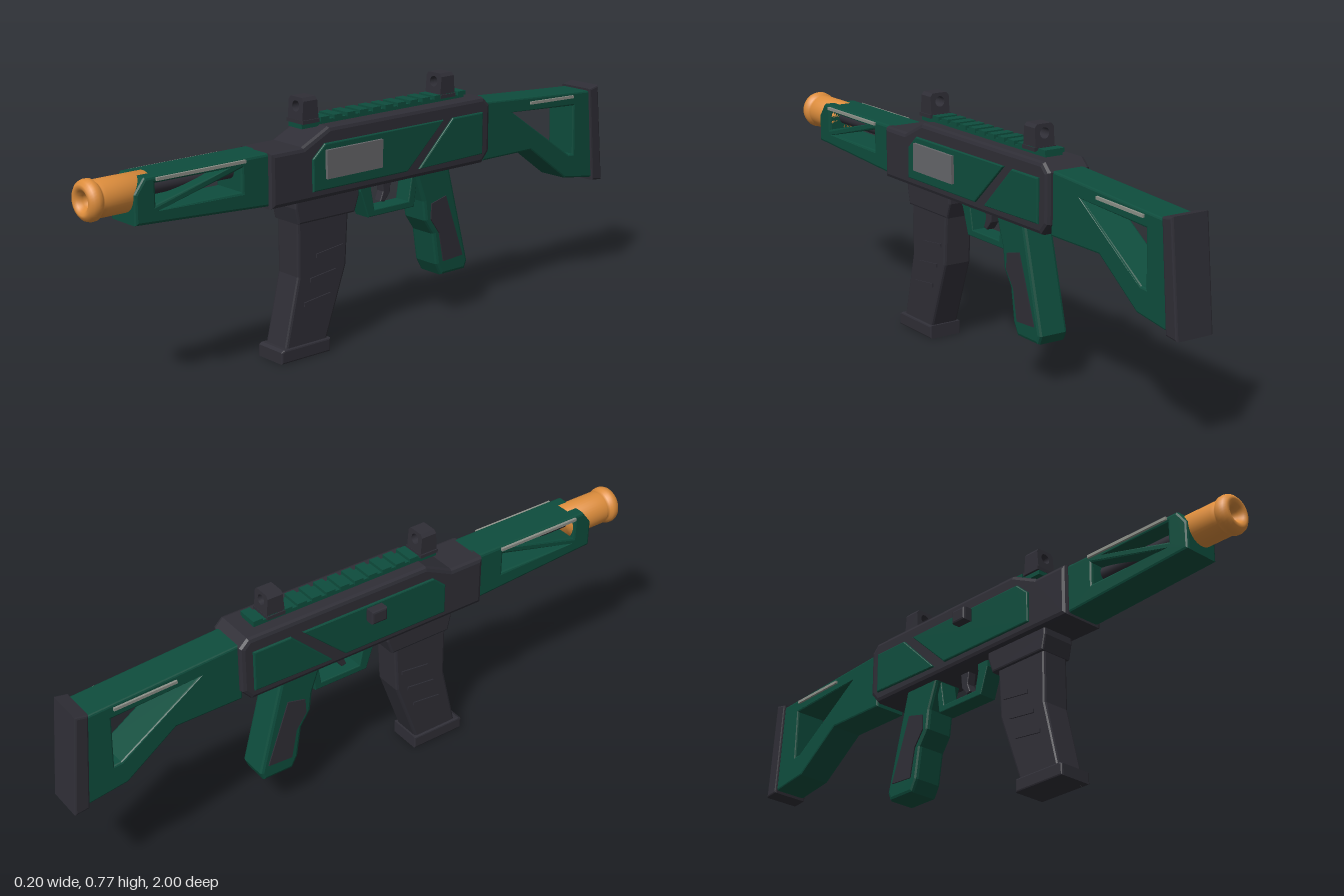
import * as THREE from 'three';

const CX = 0.011; // centre plane of the body

const mat = (name, color) => {
  const m = new THREE.MeshStandardMaterial({ color });
  m.name = name;
  return m;
};

export function createModel() {
  const group = new THREE.Group();
  const green = mat('deep green', 0x0e4d3d);
  const dark = mat('charcoal', 0x2f2e36);
  const orange = mat('orange', 0xdd8d3c);
  const grey = mat('plate grey', 0x66676a);
  const pale = mat('pale grey', 0x8c9088);

  const add = (name, geo, material) => {
    const mesh = new THREE.Mesh(geo, material);
    mesh.name = name;
    group.add(mesh);
    return mesh;
  };
  const vec = (pts) => pts.map(([a, b]) => new THREE.Vector2(a, b));

  // side profile given as [z, y] points, extruded from x0 to x1
  const side = (name, pts, x0, x1, material, bevel = 0, holes = []) => {
    const shape = new THREE.Shape(vec(pts));
    holes.forEach((h) => shape.holes.push(new THREE.Path(vec(h))));
    const geo = new THREE.ExtrudeGeometry(shape, {
      depth: x1 - x0 - 2 * bevel, bevelEnabled: bevel > 0, bevelSize: bevel,
      bevelThickness: bevel, bevelOffset: -bevel, bevelSegments: 2,
    });
    geo.translate(0, 0, -(x1 - x0) / 2 + bevel);
    geo.rotateY(-Math.PI / 2);
    geo.translate((x0 + x1) / 2, 0, 0);
    return add(name, geo, material);
  };
  const box = (name, x0, x1, y0, y1, z0, z1, material) => {
    const geo = new THREE.BoxGeometry(x1 - x0, y1 - y0, z1 - z0);
    geo.translate((x0 + x1) / 2, (y0 + y1) / 2, (z0 + z1) / 2);
    return add(name, geo, material);
  };
  // the same thin plate on both flanks, from half width a to b
  const flanks = (name, pts, a, b, material, bevel = 0) => {
    side(name + 'Left', pts, CX + a, CX + b, material, bevel);
    side(name + 'Right', pts, CX - b, CX - a, material, bevel);
  };

  // receiver
  side('receiver', [
    [0.418, 0.48], [0.418, 0.643], [0.3, 0.643], [0.203, 0.69], [-0.423, 0.69],
    [-0.45, 0.664], [-0.45, 0.515], [-0.42, 0.48],
  ], CX - 0.075, CX + 0.075, dark, 0.013);
  flanks('frontSidePanel', [
    [0.27, 0.508], [0.27, 0.605], [0.225, 0.645], [-0.245, 0.645], [-0.097, 0.508],
  ].sort(() => 0), 0.07, 0.082, green, 0.004);
  flanks('rearSidePanel', [
    [-0.145, 0.508], [-0.285, 0.645], [-0.413, 0.645], [-0.413, 0.512],
  ], 0.07, 0.082, green, 0.004);
  box('sidePlate', 0.092, 0.102, 0.541, 0.627, 0.011, 0.225, grey);
  side('chargingHandle', [
    [0.03, 0.597], [0.03, 0.64], [-0.024, 0.64], [-0.024, 0.597],
  ], -0.103, -0.068, dark, 0.006);

  // handguard with braced windows
  side('handguard', [
    [0.868, 0.514], [0.868, 0.6], [0.835, 0.643], [0.41, 0.643], [0.41, 0.487],
  ], CX - 0.06, CX + 0.06, green, 0.008, [
    [[0.80, 0.622], [0.56, 0.622], [0.80, 0.562]],
    [[0.785, 0.546], [0.51, 0.546], [0.51, 0.614]],
  ]);
  flanks('handguardStrip', [[0.8, 0.63], [0.8, 0.639], [0.5, 0.639], [0.5, 0.63]], 0.058, 0.067, pale);

  // barrel and muzzle
  const barrel = new THREE.CylinderGeometry(0.022, 0.022, 0.42, 24);
  barrel.rotateX(Math.PI / 2).translate(CX, 0.598, 0.62);
  add('barrel', barrel, dark);
  const muzzle = new THREE.LatheGeometry(vec([
    [0, 0.8], [0.053, 0.8], [0.053, 0.945], [0.047, 0.953], [0.051, 0.96],
    [0.058, 0.966], [0.059, 0.978], [0.055, 0.99], [0.046, 0.998], [0.038, 1],
    [0.029, 0.994], [0.021, 0.98], [0.02, 0.95], [0, 0.95],
  ]), 40);
  muzzle.rotateX(Math.PI / 2).translate(CX, 0.595, 0);
  add('muzzle', muzzle, orange);

  // top rail
  box('railBase', CX - 0.03, CX + 0.03, 0.685, 0.701, -0.378, 0.27, green);
  for (let i = 0; i < 12; i++) {
    const z = 0.185 - i * 0.05;
    box('railTooth', CX - 0.034, CX + 0.034, 0.698, 0.711, z - 0.016, z + 0.016, green);
  }

  // sights with a round aperture
  for (const [name, z] of [['frontSight', 0.24], ['rearSight', -0.305]]) {
    const shape = new THREE.Shape(vec([
      [-0.033, 0.7], [0.033, 0.7], [0.033, 0.765], [0.025, 0.775], [-0.025, 0.775], [-0.033, 0.765],
    ]));
    shape.holes.push(new THREE.Path().absarc(0, 0.748, 0.016, 0, Math.PI * 2, true));
    const geo = new THREE.ExtrudeGeometry(shape, { depth: 0.062, bevelEnabled: false, curveSegments: 16 });
    geo.translate(CX, 0, -0.031);
    const p = geo.attributes.position;
    for (let i = 0; i < p.count; i++) // taper towards the top
      p.setZ(i, p.getZ(i) * (1 - (p.getY(i) - 0.7) * 2.6));
    geo.computeVertexNormals();
    geo.translate(0, 0, z);
    add(name, geo, dark);
    box(name + 'Foot', CX - 0.037, CX + 0.037, 0.699, 0.71, z - 0.031, z + 0.031, dark);
  }

  // magazine
  side('magazineWell', [
    [0.316, 0.49], [0.316, 0.46], [0.305, 0.412], [0.092, 0.412], [0.075, 0.46], [0.075, 0.49],
  ], CX - 0.057, CX + 0.057, dark, 0.006);
  side('magazine', [
    [0.302, 0.43], [0.302, 0.25], [0.353, 0.03], [0.198, 0.03], [0.118, 0.255], [0.108, 0.43],
  ], CX - 0.048, CX + 0.048, dark, 0.008);
  side('magazineBase', [
    [0.373, 0], [0.373, 0.036], [0.362, 0.042], [0.187, 0.042], [0.187, 0],
  ], CX - 0.056, CX + 0.056, dark, 0.005);
  for (let i = 0; i < 3; i++) {
    const y = 0.31 - i * 0.07, z = 0.135 + i * 0.024;
    flanks('magazineRib' + i, [
      [z + 0.1, y - 0.012], [z + 0.1, y], [z, y + 0.012], [z, y],
    ], 0.044, 0.052, dark);
  }
  box('magazineBaseStrip', CX + 0.04, CX + 0.047, 0, 0.004, 0.21, 0.35, pale);

  // trigger group
  side('triggerGuard', [
    [0.045, 0.462], [0.005, 0.468], [-0.01, 0.396], [-0.15, 0.396], [-0.165, 0.485],
    [-0.188, 0.485], [-0.172, 0.375], [0.015, 0.375],
  ], CX - 0.03, CX + 0.03, green, 0.003);
  box('guardMount', CX - 0.03, CX + 0.03, 0.46, 0.485, 0.004, 0.045, green);
  side('trigger', [
    [-0.053, 0.485], [-0.091, 0.485], [-0.086, 0.434], [-0.064, 0.407], [-0.048, 0.412], [-0.059, 0.44],
  ], CX - 0.015, CX + 0.015, dark, 0.003);

  // pistol grip
  side('grip', [
    [-0.16, 0.49], [-0.30, 0.49], [-0.386, 0.166], [-0.375, 0.139], [-0.273, 0.139],
    [-0.252, 0.177], [-0.236, 0.279], [-0.203, 0.327], [-0.195, 0.39],
  ], CX - 0.05, CX + 0.05, green, 0.01);
  flanks('gripPanel', [
    [-0.225, 0.38], [-0.285, 0.395], [-0.36, 0.19], [-0.277, 0.185], [-0.258, 0.28], [-0.222, 0.33],
  ], 0.046, 0.054, dark);

  // shoulder stock
  side('stock', [
    [-0.44, 0.668], [-0.945, 0.637], [-0.96, 0.34], [-0.825, 0.36], [-0.66, 0.48], [-0.44, 0.48],
  ], CX - 0.055, CX + 0.055, green, 0.006, [
    [[-0.573, 0.616], [-0.857, 0.598], [-0.862, 0.435], [-0.84, 0.437]],
  ]);
  flanks('stockStrip', [[-0.65, 0.632], [-0.65, 0.641], [-0.85, 0.634], [-0.85, 0.625]], 0.053, 0.062, pale);
  side('buttPlate', [
    [-0.926, 0.645], [-0.967, 0.653], [-1, 0.327], [-0.953, 0.332],
  ], CX - 0.062, CX + 0.062, dark, 0.006);

  return group;
}
